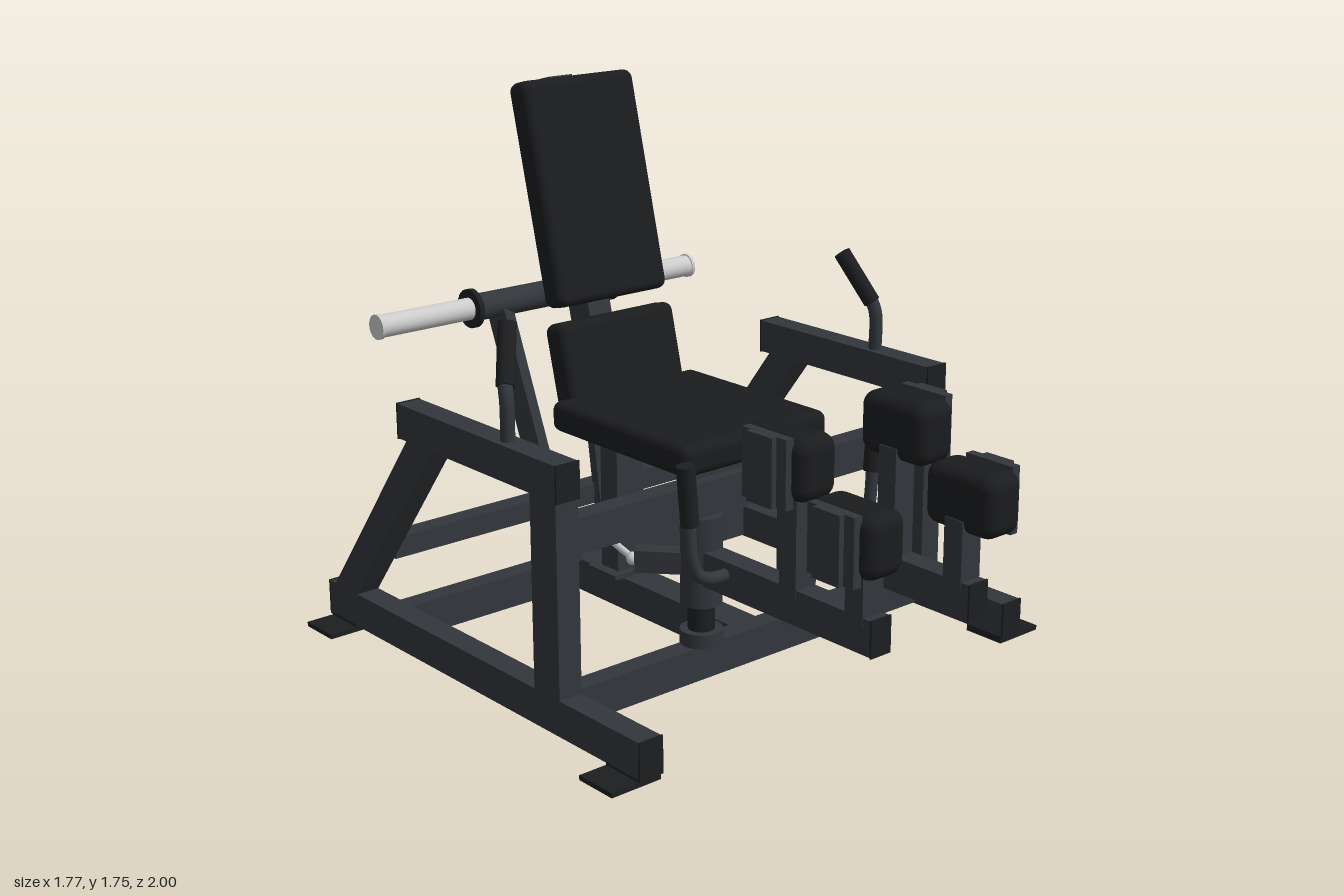
import * as THREE from 'three';
import { RoundedBoxGeometry } from 'three/addons/geometries/RoundedBoxGeometry.js';

const mat = (color) => new THREE.MeshStandardMaterial({ color });
const V = (x, y, z) => new THREE.Vector3(x, y, z);

export function createModel() {
  const model = new THREE.Group();
  const frame = mat(0x32363b), pad = mat(0x1b1c1e), rubber = mat(0x1d1e20), steel = mat(0xcccccc);

  const add = (name, geo, m, p) => {
    const mesh = new THREE.Mesh(geo, m);
    mesh.name = name;
    if (p) mesh.position.copy(p);
    model.add(mesh);
    return mesh;
  };
  // Box given by its limits on each axis
  const box = (name, m, x0, x1, y0, y1, z0, z1) =>
    add(name, new THREE.BoxGeometry(Math.abs(x1 - x0), y1 - y0, z1 - z0), m,
      V((x0 + x1) / 2, (y0 + y1) / 2, (z0 + z1) / 2));
  // Rectangular bar between two points
  const bar = (name, m, a, b, w, h) => {
    const mesh = add(name, new THREE.BoxGeometry(w, h, a.distanceTo(b)), m, a.clone().lerp(b, 0.5));
    mesh.lookAt(b);
    return mesh;
  };
  // Round bar between two points
  const rod = (name, m, a, b, r, sides = 24) => {
    const mesh = add(name, new THREE.CylinderGeometry(r, r, a.distanceTo(b), sides), m, a.clone().lerp(b, 0.5));
    mesh.quaternion.setFromUnitVectors(V(0, 1, 0), b.clone().sub(a).normalize());
    return mesh;
  };
  const cushion = (name, w, h, d, p, r, tilt = 0) => {
    const mesh = add(name, new RoundedBoxGeometry(w, h, d, 4, r), pad, p);
    mesh.rotation.x = tilt;
    return mesh;
  };
  const tube = (name, m, pts, r) =>
    add(name, new THREE.TubeGeometry(new THREE.CatmullRomCurve3(pts, false, 'centripetal'), 32, r, 14), m);

  // Cross beams and centre rail
  box('frontBaseBeam', frame, -0.71, 0.71, 0.025, 0.135, 0.145, 0.215);
  box('frontUpperBeam', frame, -0.71, 0.71, 0.55, 0.66, 0.145, 0.215);
  box('rearBaseBeam', frame, -0.71, 0.71, 0.025, 0.135, -0.705, -0.635);
  box('rearUpperBeam', frame, -0.71, 0.71, 0.27, 0.34, -0.79, -0.72);
  box('centreRail', frame, -0.055, 0.055, 0.025, 0.135, -0.64, 0.15);

  // Seat post, seat and backrest
  box('postPlate', frame, -0.09, 0.09, 0.135, 0.15, -0.52, -0.375);
  box('seatPost', frame, -0.055, 0.055, 0.15, 0.69, -0.49, -0.405);
  box('seatPlate', frame, -0.23, 0.23, 0.665, 0.682, -0.42, 0.19);
  cushion('seatPad', 0.59, 0.1, 0.655, V(0, 0.73, -0.112), 0.03);
  const tilt = -Math.atan(0.25);
  bar('backrestBeam', frame, V(0, 0.66, -0.517), V(0, 1.733, -0.787), 0.09, 0.105);
  cushion('backPad', 0.444, 0.72, 0.1, V(0, 1.4, -0.597), 0.03, tilt);
  cushion('lumbarPad', 0.47, 0.325, 0.1, V(0, 0.845, -0.465), 0.03, tilt);

  // Weight horns
  const hornY = 0.995, hornZ = -0.87;
  rod('hornCore', frame, V(-0.28, hornY, hornZ), V(0.28, hornY, hornZ), 0.045, 32);
  rod('rearPivotShaft', steel, V(-0.135, 0.21, -0.66), V(0.135, 0.21, -0.66), 0.022);

  for (const s of [-1, 1]) {
    // Side frame
    const x0 = s * 0.71, x1 = s * 0.79, xc = s * 0.75;
    box('baseRail', frame, x0, x1, 0.022, 0.135, -1, 0.6);
    box('frontUpright', frame, x0, x1, 0.135, 0.74, 0.12, 0.24);
    box('topBeam', frame, x0, x1, 0.735, 0.845, -0.548, 0.245);
    const leg = new THREE.Shape([[-0.37, 0.735], [-0.505, 0.735], [-0.965, 0.135], [-0.835, 0.135]]
      .map(([z, y]) => new THREE.Vector2(-z, y)));
    const legMesh = add('rearLeg', new THREE.ExtrudeGeometry(leg, { depth: 0.08, bevelEnabled: false }),
      frame, V(xc - 0.04, 0, 0));
    legMesh.rotation.y = Math.PI / 2;
    for (const [z0, z1, cap] of [[0.45, 0.595, 0.6], [-0.995, -0.85, -1]]) {
      box('footPlate', rubber, x0, s * 0.885, 0, 0.015, z0, z1);
      box('footBlock', rubber, x0, x1, 0.012, 0.024, z0, z1);
      box('railCap', rubber, s * 0.708, s * 0.792, 0.02, 0.137, cap - 0.003, cap + 0.003);
    }
    for (const z of [0.245, -0.548])
      box('beamCap', rubber, s * 0.708, s * 0.792, 0.733, 0.847, z - 0.003, z + 0.003);

    // Fixed side handle
    const bend = V(s * 0.745, 1.0, -0.045), tip = V(s * 0.677, 1.165, -0.122);
    tube('sideHandle', frame, [V(xc, 0.84, -0.033), V(xc, 0.96, -0.033), bend, bend.clone().lerp(tip, 0.3)], 0.022);
    rod('sideGrip', rubber, bend.clone().lerp(tip, 0.02), tip, 0.028);

    // Pivot column of the swinging arm
    const x = s * 0.2, pz = 0.18;
    rod('lowerBearing', frame, V(x, 0.135, pz), V(x, 0.18, pz), 0.067, 32);
    rod('pivotShaft', rubber, V(x, 0.18, pz), V(x, 0.27, pz), 0.042);
    rod('pivotSleeve', frame, V(x, 0.265, pz), V(x, 0.55, pz), 0.065, 32);

    // Swinging arm with two thigh pads
    box('swingArm', frame, s * 0.163, s * 0.237, 0.338, 0.447, 0.2, 0.935);
    box('armCap', rubber, s * 0.161, s * 0.239, 0.336, 0.449, 0.932, 0.938);
    for (const [z, y] of [[0.6, 0.835], [0.868, 0.683]]) {
      box('padPost', frame, s * 0.16, s * 0.24, 0.42, y - 0.05, z - 0.035, z + 0.035);
      cushion('thighPad', 0.15, 0.192, 0.265, V(s * 0.239, y, z), 0.045);
      box('padPlate', frame, s * 0.305, s * 0.335, y - 0.11, y + 0.097, z - 0.09, z + 0.09);
      box('padRib', frame, s * 0.33, s * 0.353, y - 0.11, y + 0.097, z - 0.052, z + 0.052);
    }

    // Arm handle
    tube('armHandle', frame, [[0.22, 0.405], [0.3, 0.41], [0.345, 0.435], [0.367, 0.49], [0.378, 0.62]]
      .map(([hx, hy]) => V(s * hx, hy, 0.33)), 0.02);
    rod('armGrip', rubber, V(s * 0.374, 0.595, 0.33), V(s * 0.39, 0.78, 0.33), 0.028);

    // Crank and push rod
    const crankEnd = V(s * 0.34, 0.395, 0.025), rodEnd = V(s * 0.18, 0.452, -0.75);
    bar('crank', frame, V(x, 0.395, pz), V(s * 0.333, 0.395, 0.03), 0.06, 0.07);
    rod('pushRod', steel, crankEnd, rodEnd, 0.011, 16);
    for (const p of [crankEnd, rodEnd])
      add('rodJoint', new THREE.SphereGeometry(0.021, 16, 12), steel, p);
    rod('rodBolt', steel, rodEnd, V(s * 0.11, 0.452, -0.745), 0.012, 16);

    // Weight arm, pivot bracket and horn
    bar('weightArm', frame, V(s * 0.1, 0.18, -0.655), V(s * 0.175, hornY, hornZ), 0.05, 0.07);
    box('pivotBracket', frame, s * 0.055, s * 0.075, 0.13, 0.267, -0.717, -0.602);
    box('pivotBracket', frame, s * 0.118, s * 0.13, 0.13, 0.267, -0.717, -0.602);
    rod('hornCollar', rubber, V(s * 0.275, hornY, hornZ), V(s * 0.293, hornY, hornZ), 0.065, 32);
    rod('weightHorn', steel, V(s * 0.29, hornY, hornZ), V(s * 0.64, hornY, hornZ), 0.037, 32);
    rod('hornEnd', steel, V(s * 0.638, hornY, hornZ), V(s * 0.65, hornY, hornZ), 0.041, 32);
  }
  return model;
}
